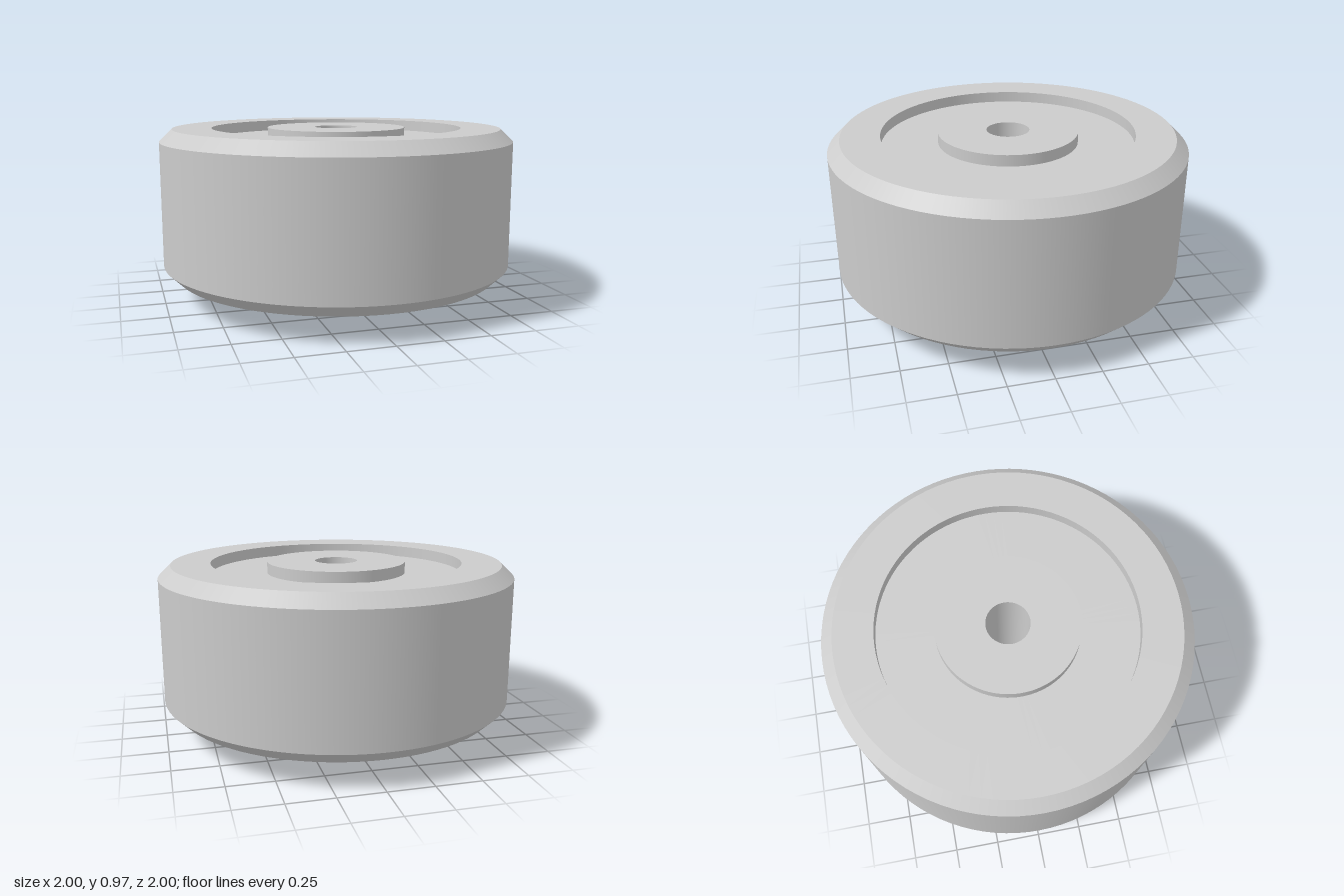
import * as THREE from 'three';
import { mergeGeometries } from 'three/addons/utils/BufferGeometryUtils.js';

const SEGMENTS = 96;
const material = new THREE.MeshStandardMaterial({ color: 0xcccccc });

// Revolves each run of [radius, y] points edge by edge, so corners stay sharp
function revolve(name, ...runs) {
  const bands = [];
  for (const run of runs) {
    for (let i = 0; i + 1 < run.length; i++) {
      const edge = [run[i], run[i + 1]].map(([r, y]) => new THREE.Vector2(r, y));
      bands.push(new THREE.LatheGeometry(edge, SEGMENTS));
    }
  }
  const mesh = new THREE.Mesh(mergeGeometries(bands), material);
  mesh.name = name;
  return mesh;
}

export function createModel() {
  const outer = 1, face = 0.93, recess = 0.71, hub = 0.393, bore = 0.12;
  const bottom = 0.137, top = 0.972, chamfer = 0.068;
  const webBottom = 0.195, webTop = 0.909;

  const wheel = new THREE.Group();
  wheel.name = 'wheel';

  // Thick rim with chamfered edges and the walls of both recesses
  wheel.add(revolve('rim', [
    [recess, webBottom], [recess, bottom], [face, bottom],
    [outer, bottom + chamfer], [outer, top - chamfer],
    [face, top], [recess, top], [recess, webTop],
  ]));

  // Recessed faces between rim and hub
  wheel.add(revolve('web',
    [[hub, webBottom], [recess, webBottom]],
    [[recess, webTop], [hub, webTop]]));

  // Hub, flush with the rim on top and projecting below, with the axle bore
  wheel.add(revolve('hub',
    [[hub, webTop], [hub, top], [bore, top], [bore, 0], [hub, 0], [hub, webBottom]]));

  return wheel;
}
